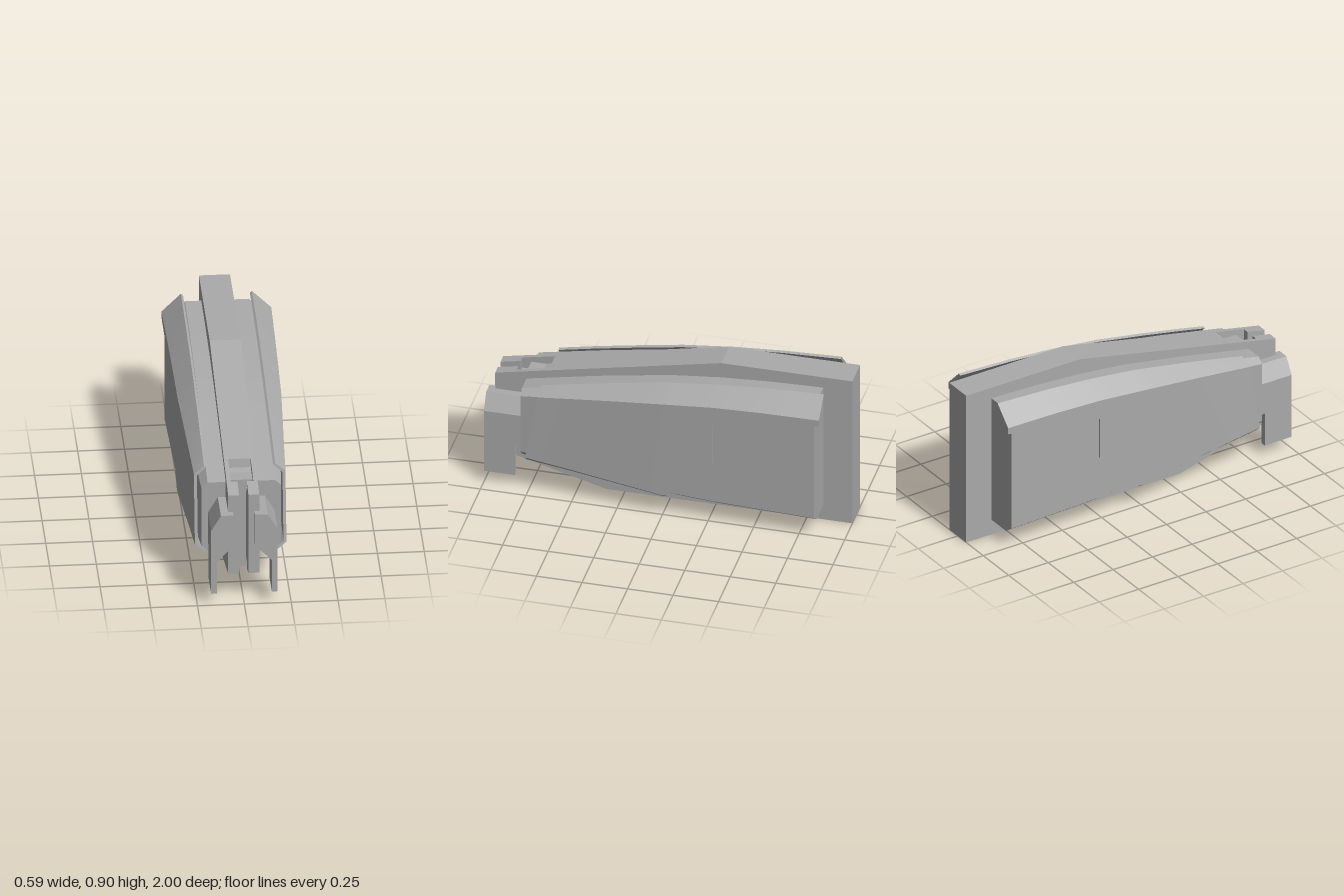
import * as THREE from 'three';
import { toCreasedNormals } from 'three/addons/utils/BufferGeometryUtils.js';

// Piecewise-linear lookup; pairs are [z, value] with z descending
function at(table, z) {
  if (z >= table[0][0]) return table[0][1];
  for (let i = 1; i < table.length; i++) {
    const [z0, a] = table[i - 1], [z1, b] = table[i];
    if (z >= z1) return a + (b - a) * (z0 - z) / (z0 - z1);
  }
  return table[table.length - 1][1];
}

// Closed solid through rings of equal length; caps pair point k with n-1-k
function loft(rings) {
  const n = rings[0].length, tris = [];
  const quad = (a, b, c, d) => tris.push([a, b, c], [a, c, d]);
  for (let i = 0; i + 1 < rings.length; i++) {
    for (let k = 0; k < n; k++) {
      const m = (k + 1) % n;
      quad(rings[i][k], rings[i][m], rings[i + 1][m], rings[i + 1][k]);
    }
  }
  const first = rings[0], last = rings[rings.length - 1];
  for (let k = 0; k < n / 2 - 1; k++) {
    quad(first[k], first[n - 1 - k], first[n - 2 - k], first[k + 1]);
    quad(last[k], last[k + 1], last[n - 2 - k], last[n - 1 - k]);
  }
  // Drop collapsed triangles and turn the solid outward
  const v = (p) => new THREE.Vector3(...p);
  let volume = 0;
  const kept = tris.filter(([a, b, c]) => {
    const cross = v(b).sub(v(a)).cross(v(c).sub(v(a)));
    volume += v(a).dot(v(b).cross(v(c)));
    return cross.length() > 1e-9;
  });
  const flat = kept.flatMap(([a, b, c]) => (volume > 0 ? [...a, ...b, ...c] : [...a, ...c, ...b]));
  const g = new THREE.BufferGeometry();
  g.setAttribute('position', new THREE.Float32BufferAttribute(flat, 3));
  return toCreasedNormals(g, 0.3);
}

const shapeOf = (pts) => new THREE.Shape(pts.map(([x, y]) => new THREE.Vector2(x, y)));

// Side profile of [z, y] points, extruded from x0 to x1
function sidePrism(pts, x0, x1) {
  const g = new THREE.ExtrudeGeometry(shapeOf(pts), { depth: x1 - x0, bevelEnabled: false });
  return g.rotateY(-Math.PI / 2).translate(x1, 0, 0);
}

// Front profile of [x, y] points, extruded from z0 to z1
function frontPrism(pts, z0, z1) {
  const g = new THREE.ExtrudeGeometry(shapeOf(pts), { depth: z1 - z0, bevelEnabled: false });
  return g.translate(0, 0, z0);
}

const spineTop = (z) => (z < -0.28 ? 0.9 : 0.9 - (z + 0.28) * 0.2097);
const spineBottom = (z) => (z < 0.35 ? 0 : (z - 0.35) * 0.271);

// Body: width, top, shoulder, lower shoulder and bottom along z
const body = {
  x: [[0.79, 0.213], [0, 0.262], [-0.84, 0.28]],
  top: [[0.79, 0.63], [0.4, 0.71], [0, 0.78], [-0.28, 0.81], [-0.55, 0.827], [-0.84, 0.835]],
  shoulder: [[0.79, 0.6], [0.4, 0.652], [0, 0.705], [-0.28, 0.732], [-0.55, 0.745], [-0.84, 0.75]],
  low: [[0.79, 0.25], [0, 0.155], [-0.28, 0.14], [-0.84, 0.13]],
  bottom: [[0.79, 0.215], [0, 0.112], [-0.28, 0.097], [-0.84, 0.09]],
};
// Armour panel, same scheme
const panel = {
  x: [[0.75, 0.241], [0, 0.277], [-0.87, 0.293]],
  top: [[0.68, 0.672], [0.4, 0.73], [0, 0.8], [-0.28, 0.832], [-0.55, 0.852], [-0.87, 0.865]],
  shoulder: [[0.68, 0.628], [0.4, 0.667], [0, 0.715], [-0.28, 0.742], [-0.55, 0.755], [-0.87, 0.762]],
  low: [[0.75, 0.235], [0, 0.14]],
  bottom: [[0.75, 0.19], [0, 0.1]],
};

function bodyGeometry() {
  return loft([0.79, 0.6, 0.4, 0.2, 0, -0.14, -0.28, -0.42, -0.55, -0.7, -0.84].map((z) => {
    const x = at(body.x, z);
    const half = [
      [at([[0.79, 0.18], [-0.84, 0.225]], z), at(body.bottom, z), z],
      [x, at(body.low, z), z],
      [x, at(body.shoulder, z), z],
      [at([[0.79, 0.18], [-0.84, 0.17]], z), at(body.top, z), z],
    ];
    return [...half, ...half.map(([a, b, c]) => [-a, b, c]).reverse()];
  }));
}

function panelGeometry(side) {
  // Stations are [z, height of the cut lower edge]; no cut means full depth
  const stations = [[0.68], [0.5], [0.3], [0.15], [0], [-0.035, 0.14], [-0.14, 0.247], [-0.28, 0.39],
    [-0.28, 0.63], [-0.42, 0.653], [-0.55, 0.674], [-0.7, 0.698], [-0.87, 0.725]];
  return loft(stations.map(([z, cut], i) => {
    const x = at(panel.x, z), top = at(panel.top, z), sh = at(panel.shoulder, z);
    const low = cut ?? at(panel.low, i ? z : 0.75), bot = cut ?? at(panel.bottom, i ? z : 0.75);
    const xb = cut ? x : at([[0.68, 0.19], [0, 0.225]], z);
    const outer = [[xb, bot], [x, low], [x, sh], [0.19, top]];
    const inner = [[0.178, top - 0.008], [x - 0.016, sh - 0.008],
      [x - 0.016, cut ?? low + 0.006], [cut ? x - 0.016 : xb - 0.012, cut ?? bot + 0.01]];
    // The front edge leans forward towards the bottom
    return [...outer, ...inner].map(([px, py]) => [px * side, py, i ? z : z + (0.67 - py) * 0.177]);
  }));
}

export function createModel() {
  const model = new THREE.Group();
  const grey = new THREE.MeshStandardMaterial({ color: 0xaaaaaa });
  grey.name = 'grey';
  const add = (name, geometry) => {
    const mesh = new THREE.Mesh(geometry, grey);
    mesh.name = name;
    model.add(mesh);
  };

  add('body', bodyGeometry());

  // Central spine, with a pocket in the top near the front
  const rear = [[-1, 0], [0.35, 0], [0.8, spineBottom(0.8)]];
  add('spineCore', sidePrism([...rear, [0.8, 0.645], [0.68, 0.645], [0.67, spineTop(0.67)],
    [-0.28, 0.9], [-1, 0.9]], -0.06, 0.06));

  for (const side of [1, -1]) {
    const span = (a, b) => (side > 0 ? [a, b] : [-b, -a]);
    const label = side > 0 ? 'left' : 'right';

    // Spine cheek and the prong tip that narrows the front slot
    add(label + 'SpineCheek', sidePrism([[-1, 0], [0.35, 0], [0.96, spineBottom(0.96)],
      [0.96, spineTop(0.96)], [-0.28, 0.9], [-1, 0.9]], ...span(0.06, 0.083)));
    add(label + 'Prong', sidePrism([[0.85, spineBottom(0.85)], [0.96, spineBottom(0.96)],
      [0.96, spineTop(0.96)], [0.85, spineTop(0.85)]], ...span(0.025, 0.06)));
    add(label + 'ProngWeb', sidePrism([[0.8, 0.18], [0.85, 0.18], [0.85, 0.6], [0.8, 0.6]],
      ...span(0.025, 0.06)));

    add(label + 'Panel', panelGeometry(side));

    // Front claw and its mount
    const claw = [[0.057, 0.54], [0.125, 0.54], [0.177, 0.45], [0.177, 0.07], [0.147, 0.07],
      [0.147, 0.26], [0.057, 0.355]];
    const mount = [[0.057, 0.54], [0.125, 0.54], [0.177, 0.45], [0.177, 0.265], [0.147, 0.265], [0.057, 0.355]];
    const flip = (pts) => pts.map(([x, y]) => [x * side, y]);
    add(label + 'Claw', frontPrism(flip(claw), 0.83, 1));
    add(label + 'ClawMount', frontPrism(flip(mount), 0.78, 0.83));
  }
  return model;
}
